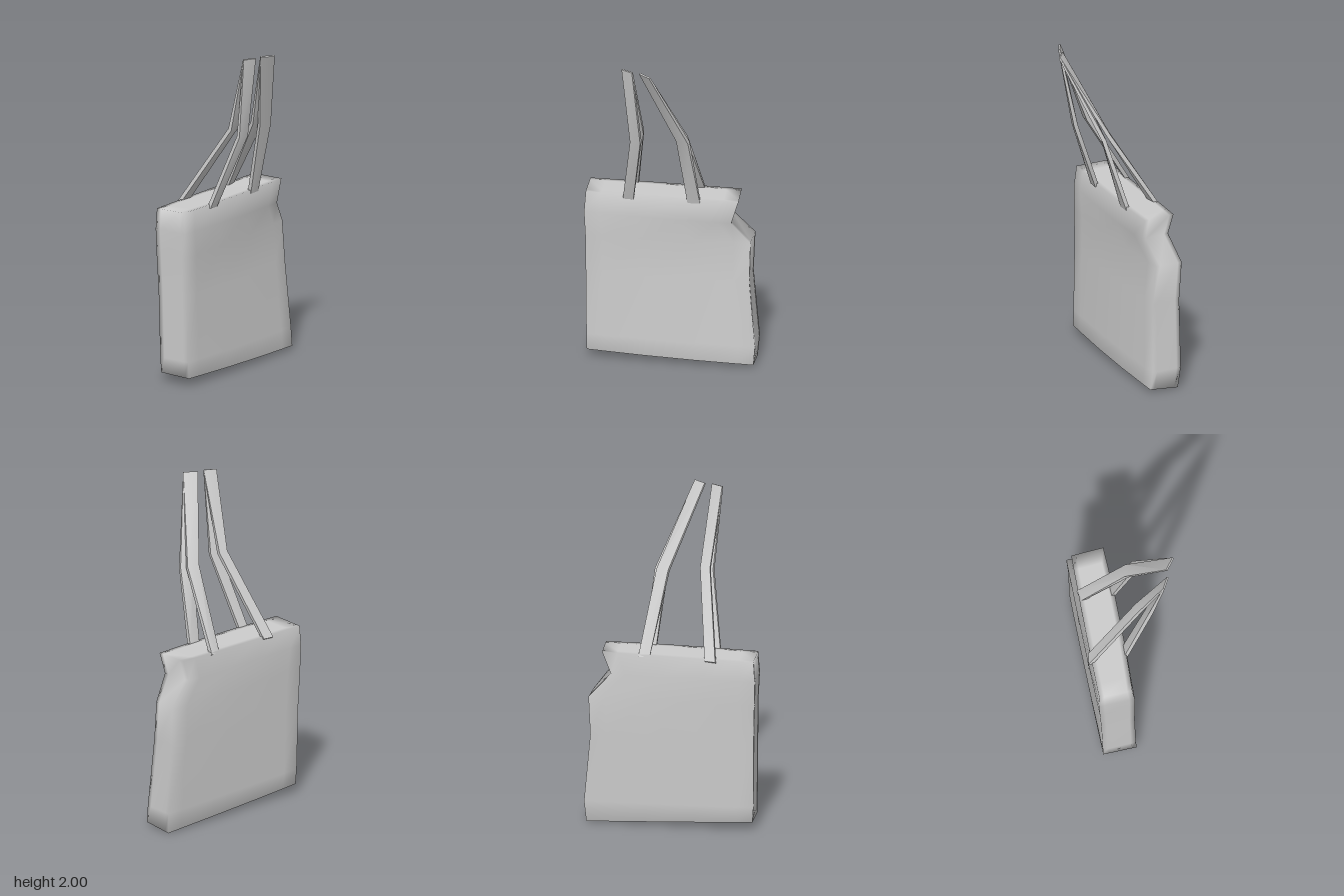
import * as THREE from 'three';
import { mergeVertices, toCreasedNormals } from 'three/addons/utils/BufferGeometryUtils.js';

const fabric = new THREE.MeshStandardMaterial({ color: 0xcccccc });
fabric.name = 'light grey fabric';

const lerp = THREE.MathUtils.lerp;

// Horizontal outlines of the bag, bottom to top. Each corner is [x, y, z]:
// front left edge, front right edge, back left edge, back right edge (as seen from +z).
const rows = [
  [[-0.295, 0.055, 0.45], [-0.1, 0.05, 0.503], [0.01, 0, -0.5], [0.187, 0.02, -0.45]],
  [[-0.3, 0.15, 0.455], [-0.105, 0.15, 0.505], [0, 0.13, -0.515], [0.175, 0.13, -0.46]],
  [[-0.31, 0.55, 0.455], [-0.115, 0.55, 0.507], [-0.02, 0.55, -0.48], [0.148, 0.55, -0.43]],
  [[-0.322, 0.79, 0.458], [-0.115, 0.79, 0.51], [-0.03, 0.79, -0.492], [0.128, 0.79, -0.44]],
  [[-0.327, 0.94, 0.46], [-0.12, 0.94, 0.517], [-0.045, 0.93, -0.36], [0.138, 0.93, -0.325]],
  [[-0.322, 1.063, 0.452], [-0.13, 1.068, 0.505], [-0.04, 1.07, -0.412], [0.15, 1.07, -0.366]],
];
const across = [0, 0.15, 0.85, 1];
const along = [0, 0.1, 0.35, 0.65, 0.9, 1];

// Soft slab: a segmented box bent onto the outlines, with smooth normals
function bagBody() {
  let geo = new THREE.BoxGeometry(1, 1, 1, across.length - 1, rows.length - 1, along.length - 1);
  geo.deleteAttribute('uv');
  geo.deleteAttribute('normal');
  geo = mergeVertices(geo);
  const p = geo.attributes.position;
  for (let i = 0; i < p.count; i++) {
    const u = across[Math.round((p.getX(i) + 0.5) * (across.length - 1))];
    const row = rows[Math.round((p.getY(i) + 0.5) * (rows.length - 1))];
    const s = along[Math.round((0.5 - p.getZ(i)) * (along.length - 1))];
    const [fl, fr, bl, br] = row;
    const q = [0, 1, 2].map((k) => lerp(lerp(fl[k], fr[k], u), lerp(bl[k], br[k], u), s));
    const bulge = 0.014 * Math.sin(Math.PI * s) * (u > 0.5 ? 1 : -0.3);
    p.setXYZ(i, q[0] + bulge, q[1], q[2]);
  }
  geo.computeVertexNormals();
  return geo;
}

// Flat strap through sections [centre, half width vector, half thickness]
function strap(sections) {
  const centres = sections.map(([c]) => new THREE.Vector3(...c));
  const pos = [];
  const index = [];
  sections.forEach(([, width, half], i) => {
    const w = new THREE.Vector3(...width);
    const t = centres[Math.min(i + 1, centres.length - 1)].clone().sub(centres[Math.max(i - 1, 0)]);
    const n = w.clone().cross(t).normalize().multiplyScalar(half);
    for (const [a, b] of [[1, 1], [-1, 1], [-1, -1], [1, -1]]) {
      pos.push(...centres[i].clone().addScaledVector(w, a).addScaledVector(n, b).toArray());
    }
    if (i === 0) return;
    for (let j = 0; j < 4; j++) {
      const a = (i - 1) * 4 + j;
      const b = (i - 1) * 4 + ((j + 1) % 4);
      index.push(b, a, a + 4, b, a + 4, b + 4);
    }
  });
  const e = (sections.length - 1) * 4;
  index.push(e + 3, e + 2, e + 1, e + 3, e + 1, e, 0, 1, 2, 0, 2, 3);
  const geo = new THREE.BufferGeometry();
  geo.setAttribute('position', new THREE.Float32BufferAttribute(pos, 3));
  geo.setIndex(index);
  return toCreasedNormals(geo, 0.9);
}

// Each handle: two legs rising from the rim, bending at a knee and meeting at the top
const handles = [
  {
    name: 'backHandle',
    top: [[0.284, 1.997, 0.21], [0.035, 0, -0.025], 0.005],
    legs: [
      [[[-0.11, 1.05, -0.172], [0.004, 0, -0.034], 0.012], [[0.125, 1.51, -0.03], [0.02, 0, -0.032], 0.012]],
      [[[0.068, 1.05, -0.113], [0.01, 0, -0.036], 0.012], [[0.17, 1.5, -0.033], [0.022, 0, -0.032], 0.012]],
    ],
  },
  {
    name: 'frontHandle',
    top: [[0.206, 1.997, 0.303], [0.028, 0, -0.027], 0.005],
    legs: [
      [[[-0.25, 1.05, 0.206], [0.014, 0, -0.03], 0.012], [[0.068, 1.53, 0.215], [0.01, 0, -0.028], 0.012]],
      [[[-0.045, 1.05, 0.262], [0.01, 0, -0.03], 0.012], [[0.138, 1.5, 0.243], [0.016, 0, -0.028], 0.012]],
    ],
  },
];

export function createModel() {
  const model = new THREE.Group();
  model.name = 'toteBag';

  const body = new THREE.Mesh(bagBody(), fabric);
  body.name = 'bagBody';
  model.add(body);

  for (const { name, top, legs } of handles) {
    const handle = new THREE.Group();
    handle.name = name;
    legs.forEach((leg, i) => {
      const mesh = new THREE.Mesh(strap([...leg, top]), fabric);
      mesh.name = i === 0 ? 'outerStrap' : 'innerStrap';
      handle.add(mesh);
    });
    model.add(handle);
  }
  return model;
}
